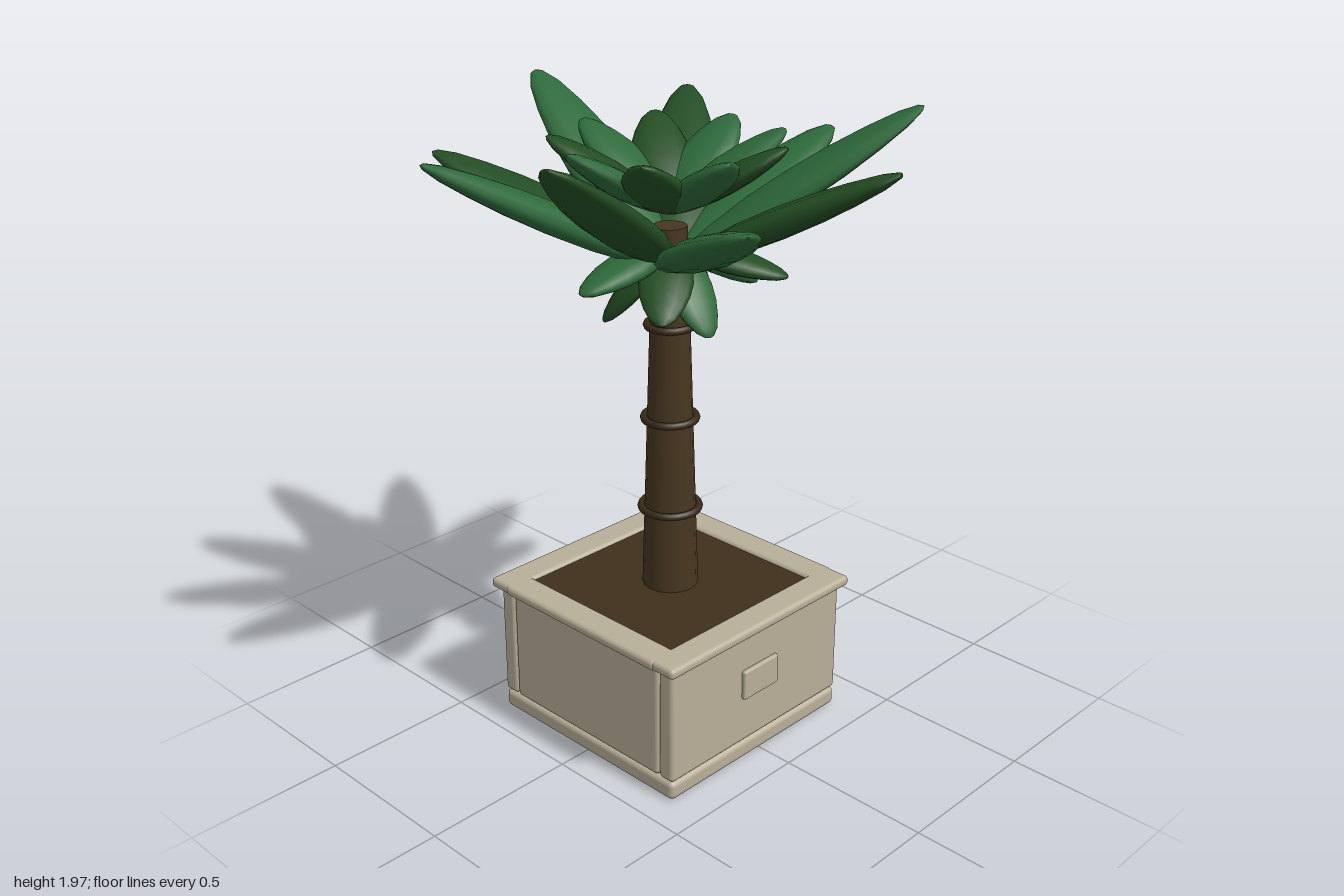
import * as THREE from 'three';
import { RoundedBoxGeometry } from 'three/addons/geometries/RoundedBoxGeometry.js';

const material = (name, color) => {
  const m = new THREE.MeshStandardMaterial({ color });
  m.name = name;
  return m;
};

export function createModel() {
  const stone = material('stone', 0xb8af99);
  const soilBrown = material('soil brown', 0x40301c);
  const bark = material('bark', 0x46361f);
  const ringBark = material('dark bark', 0x382a19);
  const lightGreen = material('light green', 0x2d693a);
  const darkGreen = material('dark green', 0x234d23);

  const model = new THREE.Group();
  model.name = 'pottedPalm';
  const plant = new THREE.Group();
  plant.name = 'plantAndPlanter';
  plant.position.x = -0.018;
  model.add(plant);

  const add = (parent, name, geometry, mat, x = 0, y = 0, z = 0) => {
    const mesh = new THREE.Mesh(geometry, mat);
    mesh.name = name;
    mesh.position.set(x, y, z);
    parent.add(mesh);
    return mesh;
  };
  const block = (parent, name, w, h, d, x, y, z, r = 0.014) =>
    add(parent, name, new RoundedBoxGeometry(w, h, d, 3, r), stone, x, y, z);

  // Planter: plinth, four walls, four rim bars and a front plaque
  const planter = new THREE.Group();
  planter.name = 'planter';
  plant.add(planter);
  block(planter, 'plinth', 0.765, 0.062, 0.765, 0, 0.033, 0, 0.018);
  for (const s of [1, -1]) {
    block(planter, s > 0 ? 'frontWall' : 'backWall', 0.765, 0.38, 0.058, 0, 0.257, s * 0.3535);
    block(planter, s > 0 ? 'leftWall' : 'rightWall', 0.058, 0.38, 0.645, s * 0.3535, 0.257, 0);
    block(planter, s > 0 ? 'frontRim' : 'backRim', 0.81, 0.034, 0.1, 0, 0.462, s * 0.356);
    block(planter, s > 0 ? 'leftRim' : 'rightRim', 0.1, 0.034, 0.66, s * 0.359, 0.462, 0);
  }
  add(planter, 'planterCore', new THREE.BoxGeometry(0.7, 0.4, 0.7), stone, 0, 0.24, 0);
  block(planter, 'plaque', 0.156, 0.1, 0.018, 0, 0.277, 0.389, 0.007);
  add(planter, 'soil', new THREE.BoxGeometry(0.64, 0.03, 0.64), soilBrown, 0, 0.453, 0);

  // Trunk with raised growth rings
  add(plant, 'trunk', new THREE.CylinderGeometry(0.052, 0.089, 1.18, 16), bark, 0, 1.05, 0);
  for (const [y, r] of [[0.735, 0.091], [1.035, 0.081], [1.335, 0.07]]) {
    const ring = add(plant, 'trunkRing', new THREE.TorusGeometry(r, 0.012, 8, 24), ringBark, 0, y, 0);
    ring.rotation.x = Math.PI / 2;
  }

  // Leaf: a flattened spindle with a blunt tip, unit length along y
  const outline = [[0, 0], [0.4, 0.06], [0.72, 0.18], [0.95, 0.34], [1, 0.5],
    [0.91, 0.66], [0.72, 0.8], [0.47, 0.92], [0.2, 0.985], [0, 1]];
  const leafGeometry = (length, halfWidth, halfThick) =>
    new THREE.LatheGeometry(outline.map(([r, y]) => new THREE.Vector2(r, y)), 12)
      .scale(halfThick, length, halfWidth);

  // A ring of nine leaves; tips lists [radius, height] and repeats round the ring
  const leafRing = (name, startDeg, baseY, tips, halfWidth, halfThick) => {
    const ring = new THREE.Group();
    ring.name = name;
    ring.position.y = baseY;
    plant.add(ring);
    for (let i = 0; i < 9; i++) {
      const [radius, height] = tips[i % tips.length];
      const rise = height - baseY;
      const arm = new THREE.Group();
      arm.name = name + 'Arm';
      arm.rotation.y = THREE.MathUtils.degToRad(startDeg + i * 40);
      ring.add(arm);
      const leaf = add(arm, 'leaf', leafGeometry(Math.hypot(radius, rise), halfWidth, halfThick),
        i % 2 ? darkGreen : lightGreen);
      leaf.rotation.z = Math.atan2(rise, radius) - Math.PI / 2;
    }
  };
  leafRing('outerFronds', 0, 1.515, [[0.73, 1.815], [0.74, 1.9], [0.735, 1.975]], 0.115, 0.046);
  leafRing('innerFronds', 12, 1.68, [[0.355, 1.9]], 0.095, 0.038);
  leafRing('lowerFronds', 20, 1.59, [[0.2, 1.35], [0.355, 1.51], [0.29, 1.43]], 0.08, 0.034);

  return model;
}
